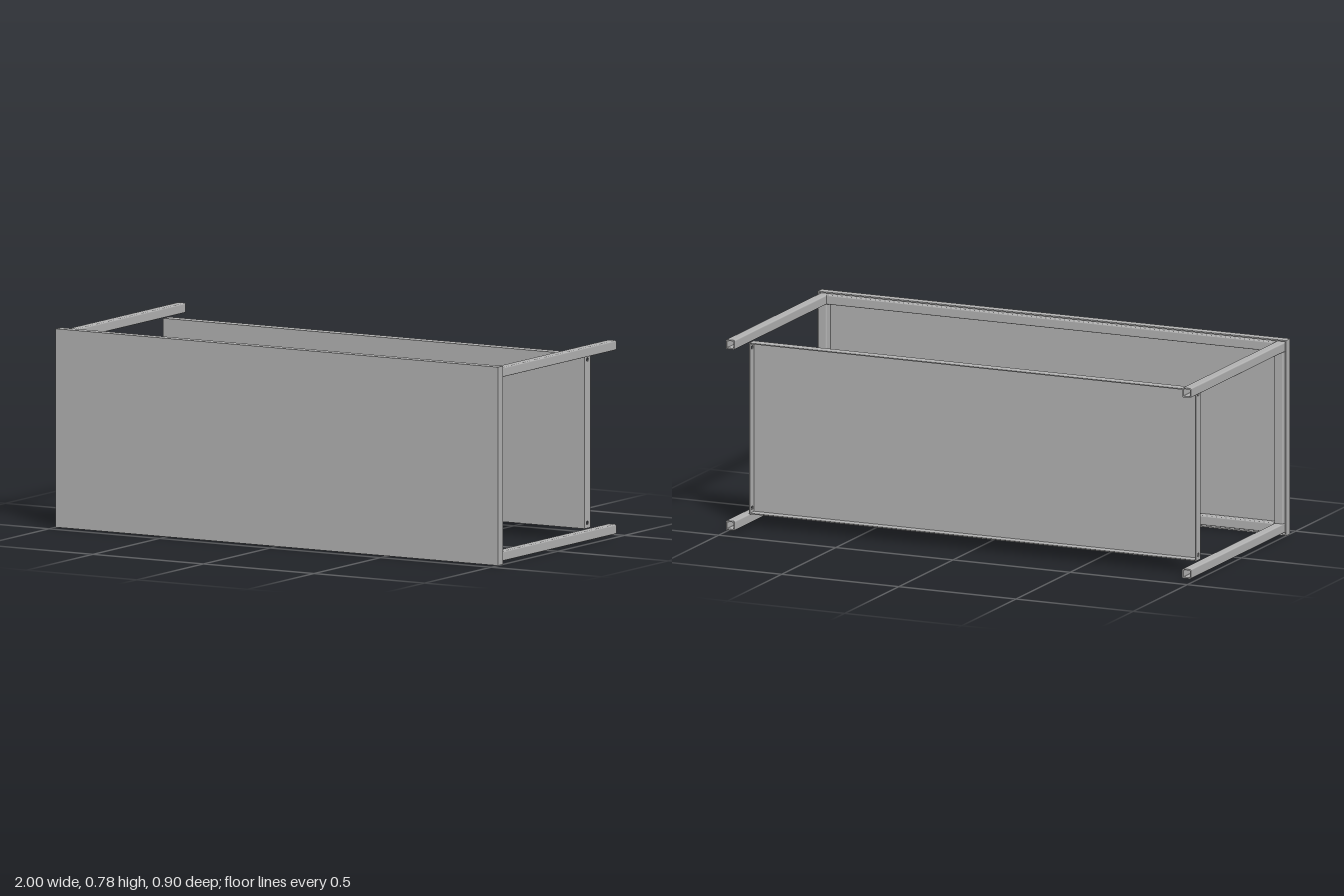
import * as THREE from 'three';

// Rounded rectangle outline centred on the origin
function roundedRect(path, w, h, r) {
  const x = w / 2, y = h / 2;
  path.moveTo(-x + r, -y);
  path.lineTo(x - r, -y);
  path.absarc(x - r, -y + r, r, -Math.PI / 2, 0);
  path.lineTo(x, y - r);
  path.absarc(x - r, y - r, r, 0, Math.PI / 2);
  path.lineTo(-x + r, y);
  path.absarc(-x + r, y - r, r, Math.PI / 2, Math.PI);
  path.lineTo(-x, -y + r);
  path.absarc(-x + r, -y + r, r, Math.PI, Math.PI * 1.5);
  return path;
}

// Hollow square tube running along z, centred on the origin
function tubeGeometry(length, size = 0.038, wall = 0.005) {
  const shape = roundedRect(new THREE.Shape(), size, size, 0.005);
  shape.holes.push(roundedRect(new THREE.Path(), size - 2 * wall, size - 2 * wall, 0.002));
  return new THREE.ExtrudeGeometry(shape, { depth: length, bevelEnabled: false, curveSegments: 4 })
    .translate(0, 0, -length / 2);
}

export function createModel() {
  const model = new THREE.Group();
  model.name = 'workTable';
  const steel = new THREE.MeshStandardMaterial({ color: 0xb2b2b2 });
  steel.name = 'grey steel';

  const add = (parent, name, geometry, x, y, z) => {
    const mesh = new THREE.Mesh(geometry, steel);
    mesh.name = name;
    mesh.position.set(x, y, z);
    parent.add(mesh);
    return mesh;
  };

  // End flange in the y-z plane, optionally drilled near its two ends
  const endFlange = (depth, height, t, drilled) => {
    const s = new THREE.Shape();
    s.moveTo(-depth / 2, -height / 2);
    s.lineTo(depth / 2, -height / 2);
    s.lineTo(depth / 2, height / 2);
    s.lineTo(-depth / 2, height / 2);
    s.closePath();
    if (drilled) for (const side of [-1, 1]) {
      s.holes.push(new THREE.Path().absarc(0, side * (height / 2 - 0.021), 0.0075, 0, Math.PI * 2));
    }
    return new THREE.ExtrudeGeometry(s, { depth: t, bevelEnabled: false, curveSegments: 16 })
      .translate(0, 0, -t / 2).rotateY(Math.PI / 2);
  };

  // Shallow pan with its sheet at the +z side and a lip all round, open to -z
  const pan = (name, halfW, y0, y1, z0, z1, sheet, t, drilled) => {
    const g = new THREE.Group();
    g.name = name;
    model.add(g);
    const h = y1 - y0, cy = (y0 + y1) / 2, d = z1 - z0, cz = (z0 + z1) / 2;
    add(g, 'sheet', new THREE.BoxGeometry(2 * (halfW - t), h - 2 * t, sheet), 0, cy, z1 - sheet / 2);
    for (const y of [y0 + t / 2, y1 - t / 2])
      add(g, 'longLip', new THREE.BoxGeometry(2 * (halfW - t), t, d), 0, y, cz);
    for (const side of [-1, 1])
      add(g, 'endLip', endFlange(d, h, t, drilled), side * (halfW - t / 2), cy, cz);
  };

  // Table top and drilled lower shelf
  pan('tableTop', 1, 0, 0.777, 0.412, 0.45, 0.012, 0.005, false);
  pan('shelf', 0.954, 0.05, 0.731, -0.32, -0.277, 0.005, 0.004, true);

  // Square tube frame nested in the top, with four legs
  const legX = 0.974, levels = [0.03, 0.75], frameZ = 0.417;
  for (const side of [-1, 1]) {
    for (const y of levels)
      add(model, 'leg', tubeGeometry(0.888), side * legX, y, -0.006);
    add(model, 'endRail', tubeGeometry(0.682).rotateX(Math.PI / 2), side * legX, 0.39, frameZ);
  }
  for (const y of levels)
    add(model, 'longRail', tubeGeometry(1.91).rotateY(Math.PI / 2), 0, y, frameZ);

  return model;
}
